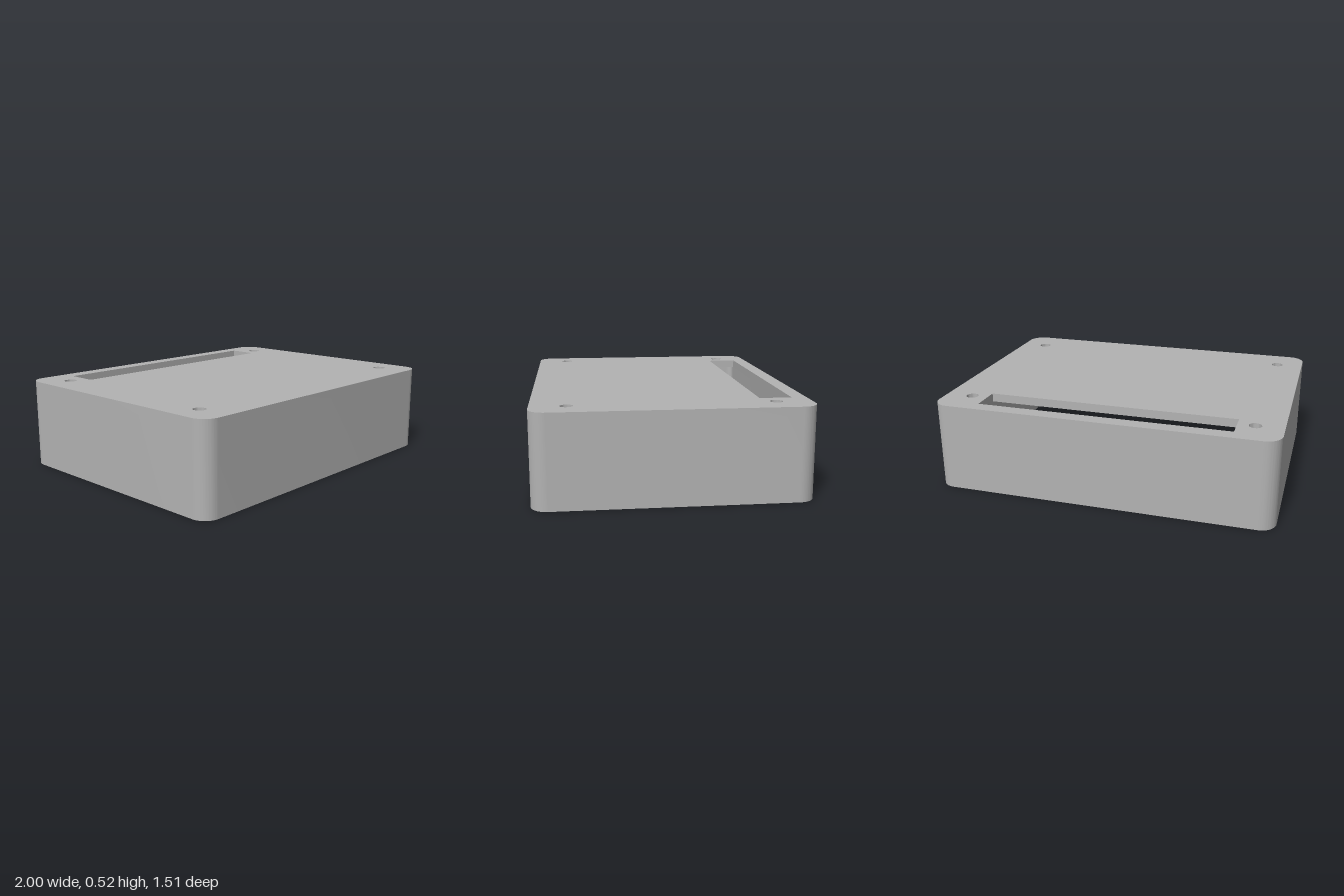
import * as THREE from 'three';
import { mergeGeometries, toCreasedNormals } from 'three/addons/utils/BufferGeometryUtils.js';

const W = 2, D = 1.515, H = 0.52, R = 0.093; // outer size and corner radius
const WALL = 0.05, LID = 0.05;               // wall and lid thickness
const SEAM = H - LID;

// Rounded rectangle inset from the outer outline
function outline(Type, inset) {
  const x = W / 2 - inset, y = D / 2 - inset, r = R - inset;
  const p = new Type();
  p.absarc(x - r, y - r, r, 0, Math.PI / 2);
  p.absarc(-x + r, y - r, r, Math.PI / 2, Math.PI);
  p.absarc(-x + r, -y + r, r, Math.PI, Math.PI * 1.5);
  p.absarc(x - r, -y + r, r, Math.PI * 1.5, Math.PI * 2);
  p.closePath();
  return p;
}

// Cut the display slot and four screw holes; side is the slot's sign in y
function cutOpenings(shape, side) {
  const x = 0.742, a = 0.493 * side, b = 0.674 * side;
  shape.holes.push(new THREE.Path([[-x, a], [x, a], [x, b], [-x, b]].map(([u, v]) => new THREE.Vector2(u, v))));
  for (const sx of [-1, 1]) for (const sy of [-1, 1]) {
    shape.holes.push(new THREE.Path().absarc(sx * 0.84, sy * 0.56, 0.036, 0, Math.PI * 2));
  }
  return shape;
}

// Upright extrusion starting at y0, without the cap that lies on the seam
function slab(shape, y0, depth) {
  const g = new THREE.ExtrudeGeometry(shape, { depth, bevelEnabled: false, curveSegments: 16 });
  g.rotateX(-Math.PI / 2).translate(0, y0, 0);
  const p = g.attributes.position, kept = [];
  for (let i = 0; i < p.count; i += 3) {
    const onSeam = [0, 1, 2].every((k) => Math.abs(p.getY(i + k) - SEAM) < 1e-5);
    if (!onSeam) kept.push(i, i + 1, i + 2);
  }
  g.clearGroups();
  g.setIndex(kept);
  return g.toNonIndexed();
}

export function createModel() {
  const group = new THREE.Group();
  group.name = 'enclosure';
  const grey = new THREE.MeshStandardMaterial({ color: 0xb3b3b3 });
  grey.name = 'grey plastic';

  // Side walls, open at the bottom
  const ring = outline(THREE.Shape, 0);
  ring.holes.push(outline(THREE.Path, WALL));
  const walls = slab(ring, 0, SEAM);

  // Lid with its openings, and the ceiling under it
  const lid = slab(cutOpenings(outline(THREE.Shape, 0), 1), SEAM, LID);
  const ceiling = new THREE.ShapeGeometry(cutOpenings(outline(THREE.Shape, WALL), -1), 16).toNonIndexed();
  ceiling.rotateX(Math.PI / 2).translate(0, SEAM, 0);

  const shell = new THREE.Mesh(toCreasedNormals(mergeGeometries([walls, lid, ceiling]), 0.6), grey);
  shell.name = 'caseShell';
  group.add(shell);
  return group;
}
